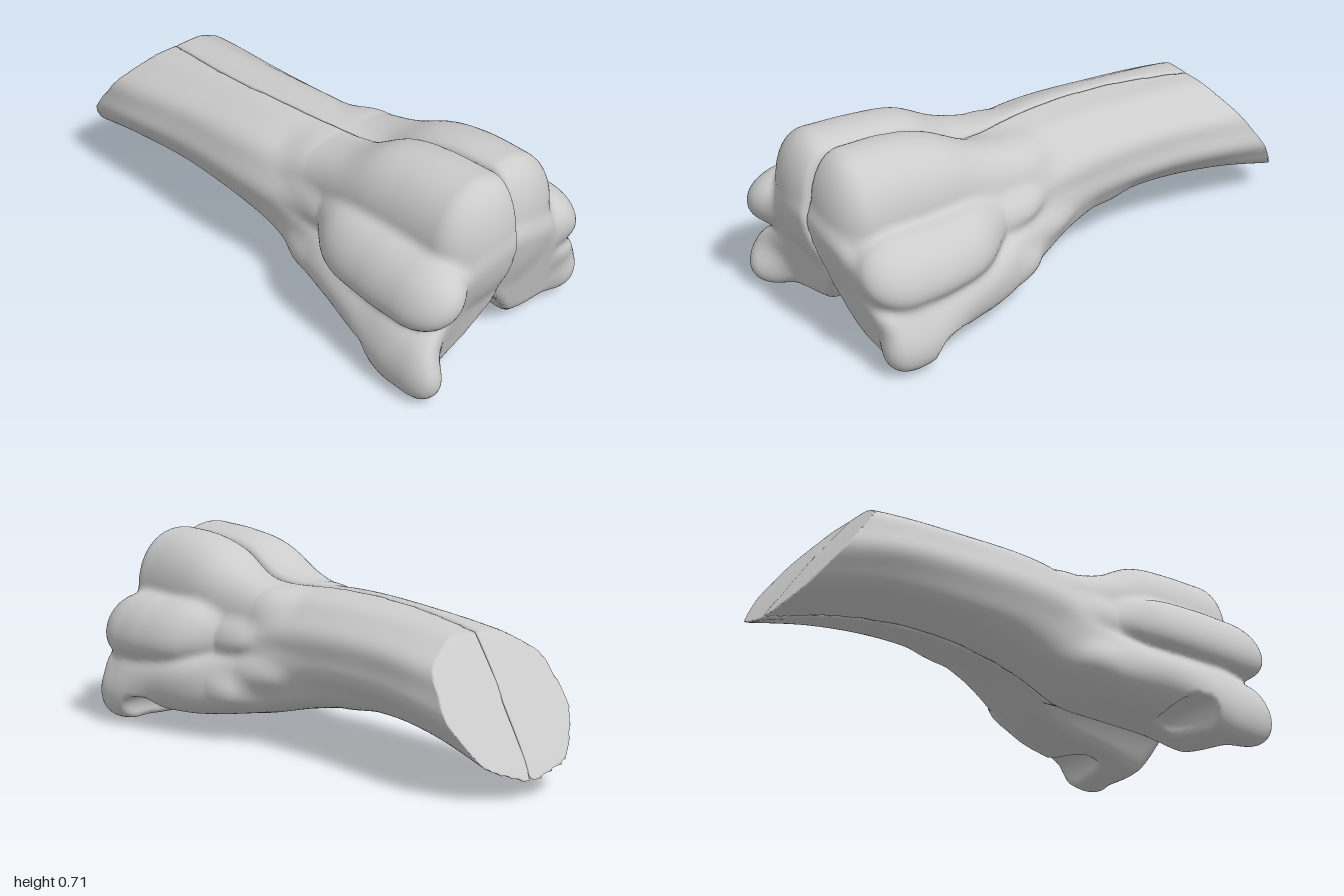
import * as THREE from 'three';

// Smooth union and smooth intersection of two fields (negative = inside).
const smin = (a, b, k) => {
  const h = Math.max(k - Math.abs(a - b), 0) / k;
  return Math.min(a, b) - h * h * k * 0.25;
};
const smax = (a, b, k) => -smin(-a, -b, k);

// Smoothly interpolated rows of [z, ...values].
function track(rows) {
  const spline = new THREE.CubicInterpolant(rows.map(r => r[0]), rows.flatMap(r => r.slice(1)), rows[0].length - 1);
  let last = NaN;
  return z => {
    if (z !== last) spline.evaluate(last = z);
    return spline.resultBuffer;
  };
}

// A swelling along z: rows of [z, centreX, centreY, radiusX, radiusY], with rounded ends.
// ridges adds lengthwise furrows, tilt leans the section sideways.
function limb(rows, cap, power = 2, ridges = 0, tilt = 0) {
  const at = track(rows), z0 = rows[0][0], z1 = rows[rows.length - 1][0];
  return (x, y, z) => {
    const [cx, cy, rx, ry] = at(z);
    const u = (x - cx - tilt * (y - cy)) / rx, v = (y - cy) / ry;
    const w = Math.max(z - z1, z0 - z, 0) / cap;
    const r = Math.pow(Math.pow(Math.abs(u), power) + Math.pow(Math.abs(v), power) + Math.pow(w, power), 1 / power);
    const f = (r - 1) * Math.min(rx, ry);
    return ridges ? f + ridges * Math.cos(9 * Math.atan2(v, u) + 2 * z) * Math.min(r, 1) : f;
  };
}

// Long trunk shared by both halves
const trunk = limb([
  [-1.06, -0.085, 0.25, 0.255, 0.207], [-0.7, -0.095, 0.32, 0.265, 0.182],
  [-0.4, -0.095, 0.348, 0.25, 0.184], [0, -0.078, 0.345, 0.255, 0.208],
  [0.25, -0.035, 0.31, 0.255, 0.23], [0.6, 0, 0.28, 0.28, 0.22], [1.1, 0, 0.26, 0.29, 0.2],
], 0.1, 2.15, 0.003);

// Wedge-shaped hollow under the front
const hollow = limb([
  [0.15, -0.02, 0.02, 0.05, 0.07], [0.45, 0, 0, 0.11, 0.16], [1.1, 0, 0, 0.11, 0.18],
], 0.15, 1.2);

// Wandering dividing seam
const seam = track([[-1, -0.075], [-0.7, -0.1], [-0.35, -0.122], [0, -0.095],
  [0.3, -0.045], [0.6, -0.015], [0.9, 0], [1.05, 0]]);

// Low foot ridge, side ridge and the arch behind the toe, mirrored by s
const foot = s => limb([
  [-0.15, s * 0.1 - 0.07, 0.27, 0.07, 0.08], [0, s * 0.12 - 0.05, 0.245, 0.09, 0.095],
  [0.2, s * 0.16 - 0.025, 0.21, 0.115, 0.11], [0.4, s * 0.2, 0.18, 0.14, 0.108],
  [0.6, s * 0.22, 0.165, 0.16, 0.108], [0.75, s * 0.235, 0.14, 0.17, 0.124], [0.86, s * 0.235, 0.14, 0.17, 0.124],
], 0.12, 2.8);
const sideRidge = s => limb([
  [0.2, s * 0.21 - 0.02, 0.25, 0.035, 0.035], [0.45, s * 0.29, 0.225, 0.055, 0.05], [0.72, s * 0.322, 0.215, 0.06, 0.06],
], 0.12);
const arch = s => limb([[0.6, s * 0.34, 0.05, 0.15, 0.07], [0.64, s * 0.34, 0.05, 0.15, 0.07]], 0.055);

// Bulbous lobes: upper, middle and low toe
const lobes = {
  right: [
    limb([[0.2, -0.15, 0.46, 0.1, 0.085], [0.35, -0.135, 0.465, 0.14, 0.13], [0.5, -0.115, 0.485, 0.172, 0.19],
      [0.65, -0.103, 0.488, 0.183, 0.215], [0.84, -0.1, 0.49, 0.185, 0.223]], 0.12, 2.1),
    limb([[0.32, -0.255, 0.385, 0.045, 0.055], [0.45, -0.305, 0.38, 0.085, 0.1], [0.65, -0.315, 0.38, 0.105, 0.118],
      [0.82, -0.312, 0.38, 0.111, 0.12]], 0.175, 2.1, 0, 0.3),
    limb([[0.3, -0.29, 0.18, 0.05, 0.05], [0.55, -0.34, 0.165, 0.06, 0.06], [0.75, -0.368, 0.1, 0.064, 0.09],
      [0.87, -0.372, 0.094, 0.062, 0.089]], 0.11, 2.1),
  ],
  left: [
    limb([[0.2, 0.07, 0.46, 0.1, 0.085], [0.35, 0.07, 0.465, 0.13, 0.13], [0.5, 0.065, 0.48, 0.168, 0.185],
      [0.65, 0.065, 0.48, 0.182, 0.218], [0.81, 0.065, 0.48, 0.185, 0.225]], 0.12, 2.1),
    limb([[0.32, 0.205, 0.375, 0.045, 0.055], [0.45, 0.265, 0.37, 0.09, 0.1], [0.62, 0.293, 0.362, 0.108, 0.113],
      [0.75, 0.295, 0.36, 0.11, 0.118]], 0.155, 2.1, 0, -0.35),
    limb([[0.3, 0.25, 0.18, 0.05, 0.05], [0.55, 0.325, 0.17, 0.06, 0.06], [0.7, 0.365, 0.11, 0.064, 0.08],
      [0.76, 0.368, 0.1, 0.063, 0.078]], 0.1, 2.1),
  ],
};

// Slanted, slightly curved cut at the back: how far it lies behind its top edge at height y
const CUT = -0.69;
const slant = y => 0.78 * (0.5 - y) - 0.18 * (0.5 - y) ** 2;

// Complete field of one half
function halfField(s, parts) {
  const ridgeA = foot(s), ridgeB = sideRidge(s), notch = arch(s);
  return (x, y, z) => {
    let f = smin(trunk(x, y, z), ridgeA(x, y, z), 0.06);
    const front = 0.815 + 0.27 * y + 1.1 * Math.min(x + 0.08, 0) ** 2; // sloping front face
    f = smax(f, (z - front) * 0.965, 0.05);
    f = smin(f, ridgeB(x, y, z), 0.05);
    f = smin(f, parts[0](x, y, z), 0.06);
    f = smin(f, parts[1](x, y, z), 0.03);
    f = smin(f, parts[2](x, y, z), 0.05);
    f = smax(f, -hollow(x, y, z), 0.03);
    f = smax(f, -notch(x, y, z), 0.02);
    f = smax(f, s * (seam(z)[0] - x) - 0.002, 0.018);                  // seam
    return Math.max(f, (CUT - slant(y) - z) * 0.8);                    // cut end
  };
}

// Leans the sampling layers so that they lie along the cut end.
const lean = (y, w) => w - slant(y) * (1 - THREE.MathUtils.smoothstep(w, -0.66, 0.3));

// Turns a field into a smooth skin: one vertex per crossed cell, one quad per crossed edge.
function skin(field, min, max, step) {
  const n = min.map((m, i) => Math.ceil((max[i] - m) / step) + 1);
  const stride = [1, n[0], n[0] * n[1]];
  const total = n[0] * n[1] * n[2];
  const val = new Float32Array(total), cell = new Int32Array(total).fill(-1);
  const pos = [], nor = [], index = [];
  const each = (lo, hi, fn) => {
    for (let k = lo; k < n[2] - hi; k++)
      for (let j = lo; j < n[1] - hi; j++)
        for (let i = lo; i < n[0] - hi; i++) fn([i, j, k], i + j * stride[1] + k * stride[2]);
  };
  each(0, 0, (c, q) => {
    const [x, y, w] = c.map((v, e) => min[e] + v * step);
    val[q] = field(x, y, lean(y, w));
  });

  each(0, 1, (c, q) => {
    let count = 0;
    const sum = [0, 0, 0];
    for (let corner = 0; corner < 8; corner++) {
      const o = [corner & 1, (corner >> 1) & 1, corner >> 2];
      const a = q + o[0] + o[1] * stride[1] + o[2] * stride[2];
      for (let d = 0; d < 3; d++) {
        if (o[d]) continue;
        const va = val[a], vb = val[a + stride[d]];
        if ((va < 0) === (vb < 0)) continue;
        for (let e = 0; e < 3; e++) sum[e] += o[e] + (e === d ? va / (va - vb) : 0);
        count++;
      }
    }
    if (!count) return;
    const [x, y, w] = sum.map((v, e) => min[e] + (c[e] + v / count) * step);
    const z = lean(y, w);
    cell[q] = pos.length / 3;
    pos.push(x, y, z);
    const h = 0.004;
    const g = new THREE.Vector3(
      field(x + h, y, z) - field(x - h, y, z),
      field(x, y + h, z) - field(x, y - h, z),
      field(x, y, z + h) - field(x, y, z - h)).normalize();
    nor.push(g.x, g.y, g.z);
  });

  each(1, 1, (c, q) => {
    for (let d = 0; d < 3; d++) {
      const inside = val[q] < 0;
      if (inside === (val[q + stride[d]] < 0)) continue;
      const u = stride[(d + 1) % 3], v = stride[(d + 2) % 3];
      const [a, b, e, f] = [cell[q - u - v], cell[q - v], cell[q], cell[q - u]];
      if (inside) index.push(a, b, e, a, e, f);
      else index.push(a, e, b, a, f, e);
    }
  });

  const geo = new THREE.BufferGeometry();
  geo.setAttribute('position', new THREE.Float32BufferAttribute(pos, 3));
  geo.setAttribute('normal', new THREE.Float32BufferAttribute(nor, 3));
  geo.setIndex(index);
  return geo;
}

export function createModel() {
  const group = new THREE.Group();
  group.name = 'clovenLimb';
  const grey = new THREE.MeshStandardMaterial({ color: 0xcccccc });
  grey.name = 'plain grey';
  for (const [side, s] of [['right', -1], ['left', 1]]) {
    const lo = s < 0 ? -0.48 : -0.17, hi = s < 0 ? 0.05 : 0.48;
    const mesh = new THREE.Mesh(skin(halfField(s, lobes[side]), [lo, -0.04, -0.74], [hi, 0.77, 1.05], 0.013), grey);
    mesh.name = side + 'Half';
    group.add(mesh);
  }
  return group;
}
